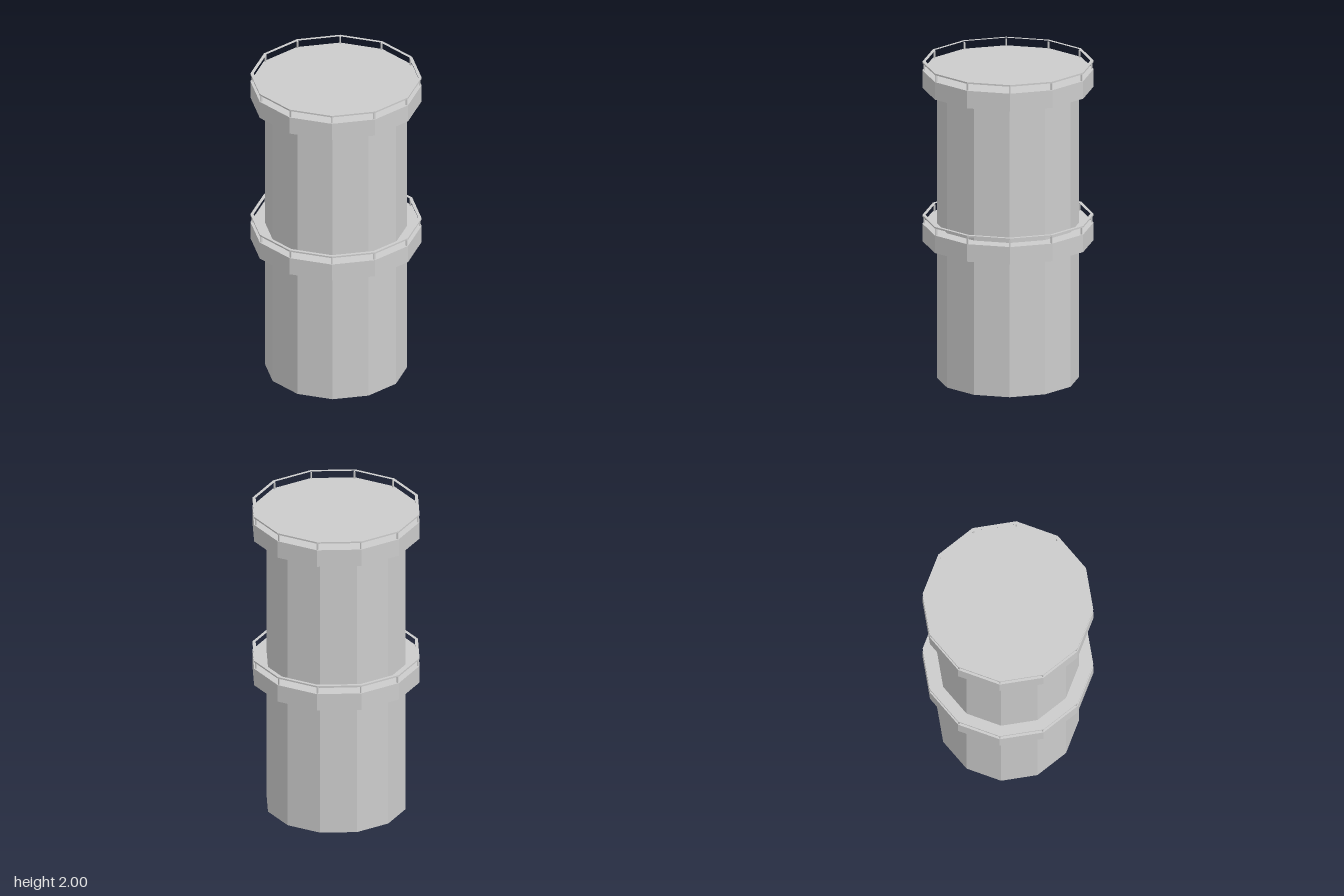
import * as THREE from 'three';

const SIDES = 12;
const DECK_R = 0.52, RAIL_INNER_R = 0.5, POST_R = 0.509;

export function createModel() {
  const model = new THREE.Group();
  model.name = 'tower';
  const material = new THREE.MeshStandardMaterial({ color: 0xcccccc, flatShading: true });

  const add = (parent, name, geometry, y) => {
    const mesh = new THREE.Mesh(geometry, material);
    mesh.name = name;
    mesh.position.y = y;
    parent.add(mesh);
    return mesh;
  };

  // Twelve-sided prism standing on its base, with a corner facing +z
  const prism = (radius, height) =>
    new THREE.CylinderGeometry(radius, radius, height, SIDES).translate(0, height / 2, 0);

  const corners = (radius) => Array.from({ length: SIDES }, (_, i) => {
    const a = (i / SIDES) * Math.PI * 2;
    return new THREE.Vector2(Math.sin(a) * radius, Math.cos(a) * radius);
  });

  // Flat handrail ring
  const railGeometry = (height) => {
    const shape = new THREE.Shape(corners(DECK_R));
    shape.holes.push(new THREE.Path(corners(RAIL_INNER_R)));
    return new THREE.ExtrudeGeometry(shape, { depth: height, bevelEnabled: false })
      .rotateX(-Math.PI / 2);
  };

  // Main shaft
  add(model, 'shaft', prism(0.432, 1.85), 0);

  // Two identical balconies: deck, corner posts and handrail
  const deckH = 0.111, postH = 0.044, railH = 0.01;
  [['middleBalcony', 0.865], ['topBalcony', 1.835]].forEach(([name, y]) => {
    const balcony = new THREE.Group();
    balcony.name = name;
    balcony.position.y = y;
    add(balcony, 'deck', prism(DECK_R, deckH), 0);
    corners(POST_R).forEach((p, i) => {
      const post = add(balcony, 'railPost', new THREE.BoxGeometry(0.009, postH, 0.009), deckH + postH / 2);
      post.position.x = p.x;
      post.position.z = p.y;
      post.rotation.y = (i / SIDES) * Math.PI * 2;
    });
    add(balcony, 'handrail', railGeometry(railH), deckH + postH);
    model.add(balcony);
  });

  return model;
}
